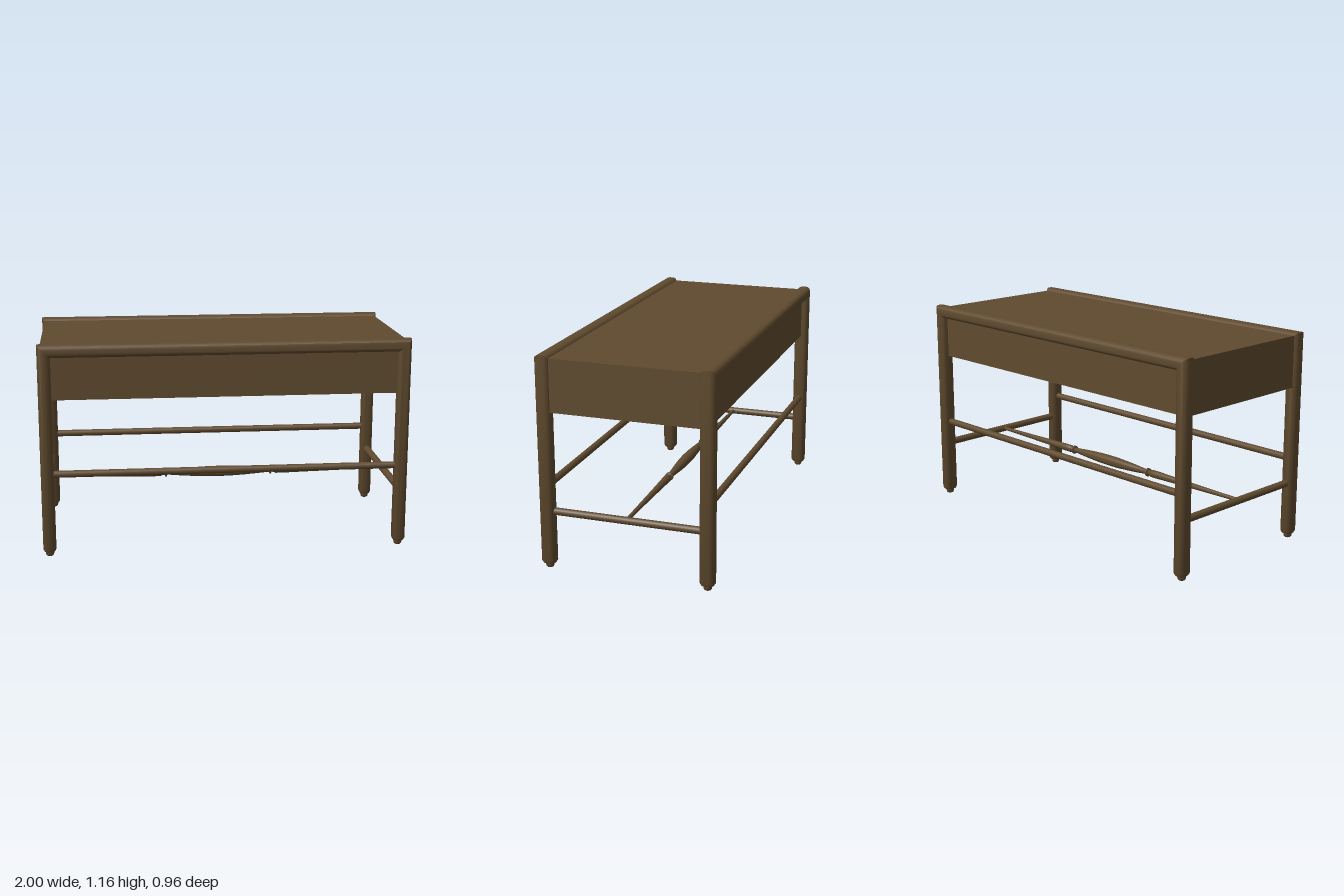
import * as THREE from 'three';
import { toCreasedNormals } from 'three/addons/utils/BufferGeometryUtils.js';

const LEG_X = 0.965, LEG_Z = 0.438, RAIL_Y = 1.13;
const HALF_N = 0.035, HALF_Z = 0.0415, CORNER = 0.03;

// Rounded cross-section shared by the legs and top rails: n points away from the frame's middle.
function railSection() {
  const pts = [], steps = 6;
  [[1, 1], [-1, 1], [-1, -1], [1, -1]].forEach(([sn, sz], q) => {
    for (let i = 0; i <= steps; i++) {
      const a = (q + i / steps) * Math.PI / 2;
      pts.push([sn * (HALF_N - CORNER) + CORNER * Math.cos(a), sz * (HALF_Z - CORNER) + CORNER * Math.sin(a)]);
    }
  });
  return pts;
}

// Leg, top rail and leg swept as one mitred arch, with chamfered, closed feet.
function archGeometry() {
  const section = railSection();
  const leg = (side, y, s) => section.map(([n, z]) => [side * (LEG_X + n * s), y, z * s]);
  const corner = side => section.map(([n, z]) => [side * (LEG_X + n), RAIL_Y + n, z]);
  const rows = [
    leg(-1, 0.027, 0), leg(-1, 0.027, 0.82), leg(-1, 0.04, 1), corner(-1),
    corner(1), leg(1, 0.04, 1), leg(1, 0.027, 0.82), leg(1, 0.027, 0),
  ];
  const pos = [], count = section.length;
  for (let i = 0; i < rows.length - 1; i++) {
    for (let j = 0; j < count; j++) {
      const k = (j + 1) % count;
      const a = rows[i][j], b = rows[i][k], c = rows[i + 1][k], d = rows[i + 1][j];
      pos.push(...a, ...b, ...c, ...a, ...c, ...d);
    }
  }
  const geo = new THREE.BufferGeometry();
  geo.setAttribute('position', new THREE.Float32BufferAttribute(pos, 3));
  return toCreasedNormals(geo, 0.6);
}

function lathe(points, segments = 24) {
  return toCreasedNormals(new THREE.LatheGeometry(points.map(p => new THREE.Vector2(...p)), segments), 0.6);
}

export function createModel() {
  const wood = new THREE.MeshStandardMaterial({ color: 0x5f4a2e });
  wood.name = 'dark brown wood';
  const group = new THREE.Group();
  group.name = 'table';

  const add = (name, geo, x = 0, y = 0, z = 0) => {
    const mesh = new THREE.Mesh(geo, wood);
    mesh.name = name;
    mesh.position.set(x, y, z);
    group.add(mesh);
    return mesh;
  };

  // Front and back frames
  const arch = archGeometry();
  add('frontFrame', arch, 0, 0, LEG_Z);
  add('backFrame', arch, 0, 0, -LEG_Z);

  // Small turned feet
  const foot = lathe([[0, 0], [0.016, 0], [0.021, 0.006], [0.024, 0.02], [0.024, 0.03]]);
  for (const sx of [-1, 1]) {
    for (const sz of [-1, 1]) add('foot', foot, sx * LEG_X, 0, sz * LEG_Z);
  }

  // Top panel and the open-bottomed apron below it
  const boxX = 0.985, boxZ = 0.44, top = 1.15, under = 1.105, low = 0.865, wall = 0.02;
  add('topPanel', new THREE.BoxGeometry(boxX * 2, top - under, boxZ * 2), 0, (top + under) / 2, 0);
  const midY = (under + low) / 2, height = under - low;
  for (const s of [-1, 1]) {
    add(s > 0 ? 'frontApron' : 'backApron',
      new THREE.BoxGeometry(boxX * 2, height, wall), 0, midY, s * (boxZ - wall / 2));
    add(s > 0 ? 'leftApron' : 'rightApron',
      new THREE.BoxGeometry(wall, height, (boxZ - wall) * 2), s * (boxX - wall / 2), midY, 0);
  }

  // Round stretchers between the legs
  const longBar = new THREE.CylinderGeometry(0.019, 0.019, LEG_X * 2, 20, 1);
  const shortBar = new THREE.CylinderGeometry(0.02, 0.02, LEG_Z * 2, 20, 1);
  for (const s of [-1, 1]) {
    add(s > 0 ? 'frontStretcher' : 'backStretcher', longBar, 0, 0.458, s * LEG_Z).rotation.z = Math.PI / 2;
    add(s > 0 ? 'leftStretcher' : 'rightStretcher', shortBar, s * LEG_X, 0.32, 0).rotation.x = Math.PI / 2;
  }

  // Turned centre spindle: half profile as [radius, distance from the middle], mirrored
  const half = [
    [0.03, 0], [0.029, 0.07], [0.025, 0.15], [0.019, 0.23], [0.014, 0.288], [0.014, 0.296],
    [0.024, 0.3], [0.024, 0.308], [0.014, 0.312], [0.015, 0.326], [0.021, 0.335],
    [0.021, 0.38], [0.018, 0.5], [0.014, 0.7], [0.01, 0.93], [0.01, LEG_X],
  ];
  const profile = [...half.slice(1).reverse().map(([r, d]) => [r, -d]), ...half];
  add('centreSpindle', lathe(profile, 20), 0, 0.322, 0).rotation.z = Math.PI / 2;

  return group;
}
